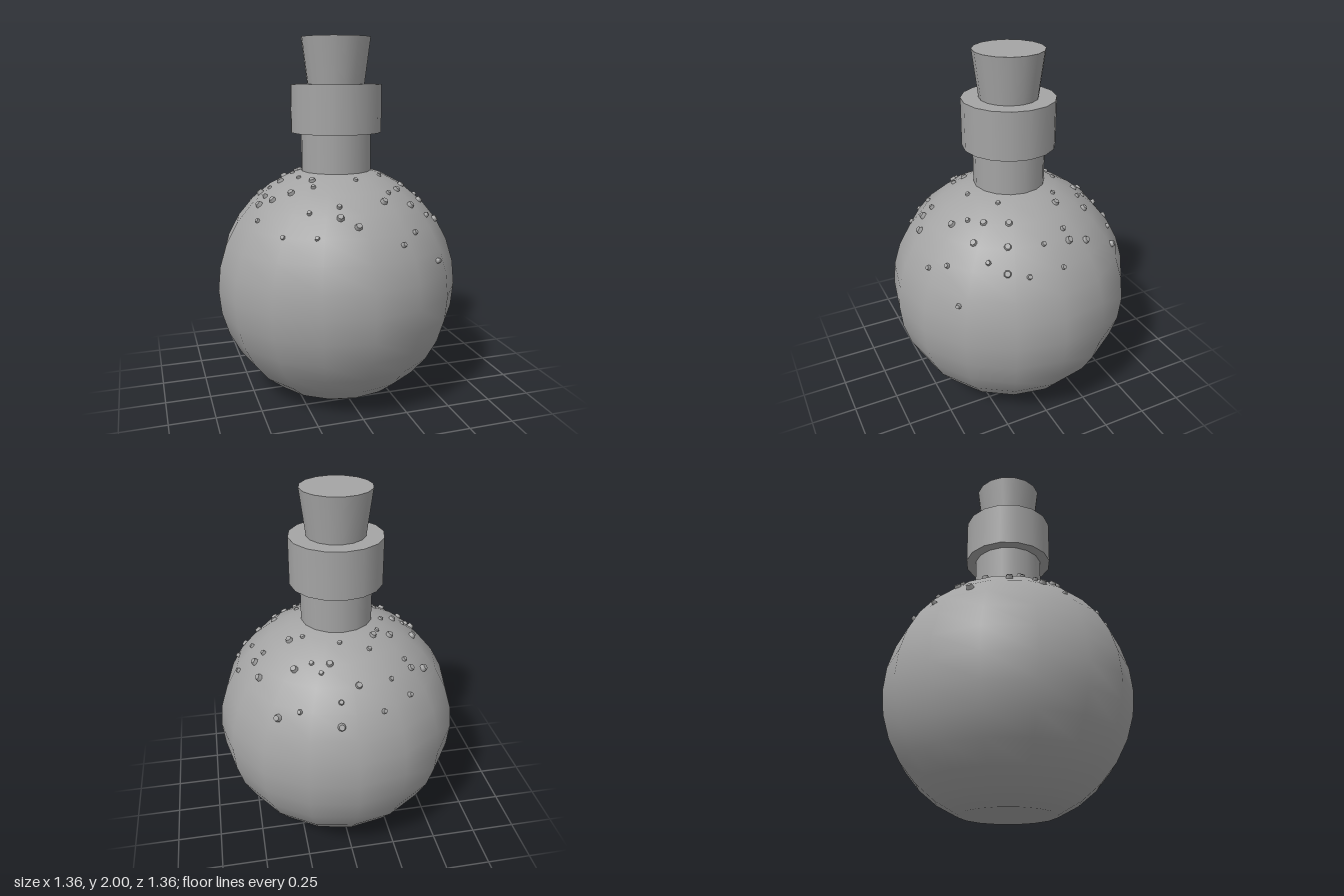
import * as THREE from 'three';

const R = 0.68, CY = 0.63, SIDES = 16;
const grey = new THREE.MeshStandardMaterial({ color: 0xa4a4a4 });
grey.name = 'grey';

// Bubble positions on the upper half of the body: x, z in hundredths
const LARGE = [
  -3, -47, -34, -34, -43, -29, 10, -36, 28, -32, -26, -18, -16, -21, -42, -8, -32, 0,
  -46, 9, -40, 16, -31, 21, -19, 19, 28, -14, 47, -12, 46, -23, 33, 16, 42, 21,
  26, 27, 31, 35, 14, 40, -12, 47, 50, 25, -4, 52, 39, -45, 8, -59,
];
const SMALL = [
  -15, -55, 7, -52, 28, -49, -31, -46, -21, -43, 15, -39, 19, -33, -31, -31, -12, -30,
  3, -26, -19, -17, 21, -16, 42, -11, 56, -4, 47, 3, 55, 15, -38, 0, -42, 6, -49, 20,
  -24, 10, -20, 25, 3, 26, 20, 16, 19, 33, 42, 32, 42, 49, 28, 49, 19, 56,
  -11, 42, -26, 39, -40, 40, -25, 50, -24, -5,
];

export function createModel() {
  const model = new THREE.Group();
  model.name = 'flask';

  const add = (name, geometry, y = 0) => {
    const mesh = new THREE.Mesh(geometry, grey);
    mesh.name = name;
    mesh.position.y = y;
    model.add(mesh);
    return mesh;
  };
  const drum = (name, top, bottom, y0, y1) =>
    add(name, new THREE.CylinderGeometry(top, bottom, y1 - y0, SIDES), (y0 + y1) / 2);

  // Round body with a flattened base
  const profile = [new THREE.Vector2(0, 0)];
  for (let i = 2; i <= 16; i++) {
    const a = (i / 16) * Math.PI;
    profile.push(new THREE.Vector2(Math.max(0, R * Math.sin(a)), Math.max(0, CY - R * Math.cos(a))));
  }
  add('body', new THREE.LatheGeometry(profile, SIDES));

  // Neck, collar and tapered stopper
  drum('neck', 0.195, 0.195, 1.2, 1.5);
  drum('collar', 0.252, 0.252, 1.49, 1.75);
  drum('stopper', 0.19, 0.155, 1.73, 2);

  // Small blunt bubbles standing out from the glass
  const bubbles = new THREE.Group();
  bubbles.name = 'bubbles';
  model.add(bubbles);
  const up = new THREE.Vector3(0, 1, 0);
  const scatter = (list, radius, rise) => {
    const geometry = new THREE.CylinderGeometry(radius * 0.6, radius, rise + 0.02, 8);
    geometry.translate(0, (rise - 0.02) / 2, 0);
    for (let i = 0; i < list.length; i += 2) {
      const x = list[i] / 100, z = list[i + 1] / 100;
      const normal = new THREE.Vector3(x, Math.sqrt(R * R - x * x - z * z), z).normalize();
      const bubble = new THREE.Mesh(geometry, grey);
      bubble.name = 'bubble';
      bubble.position.copy(normal).multiplyScalar(R - 0.003);
      bubble.position.y += CY;
      bubble.quaternion.setFromUnitVectors(up, normal);
      bubbles.add(bubble);
    }
  };
  scatter(LARGE, 0.025, 0.014);
  scatter(SMALL, 0.018, 0.011);

  return model;
}
